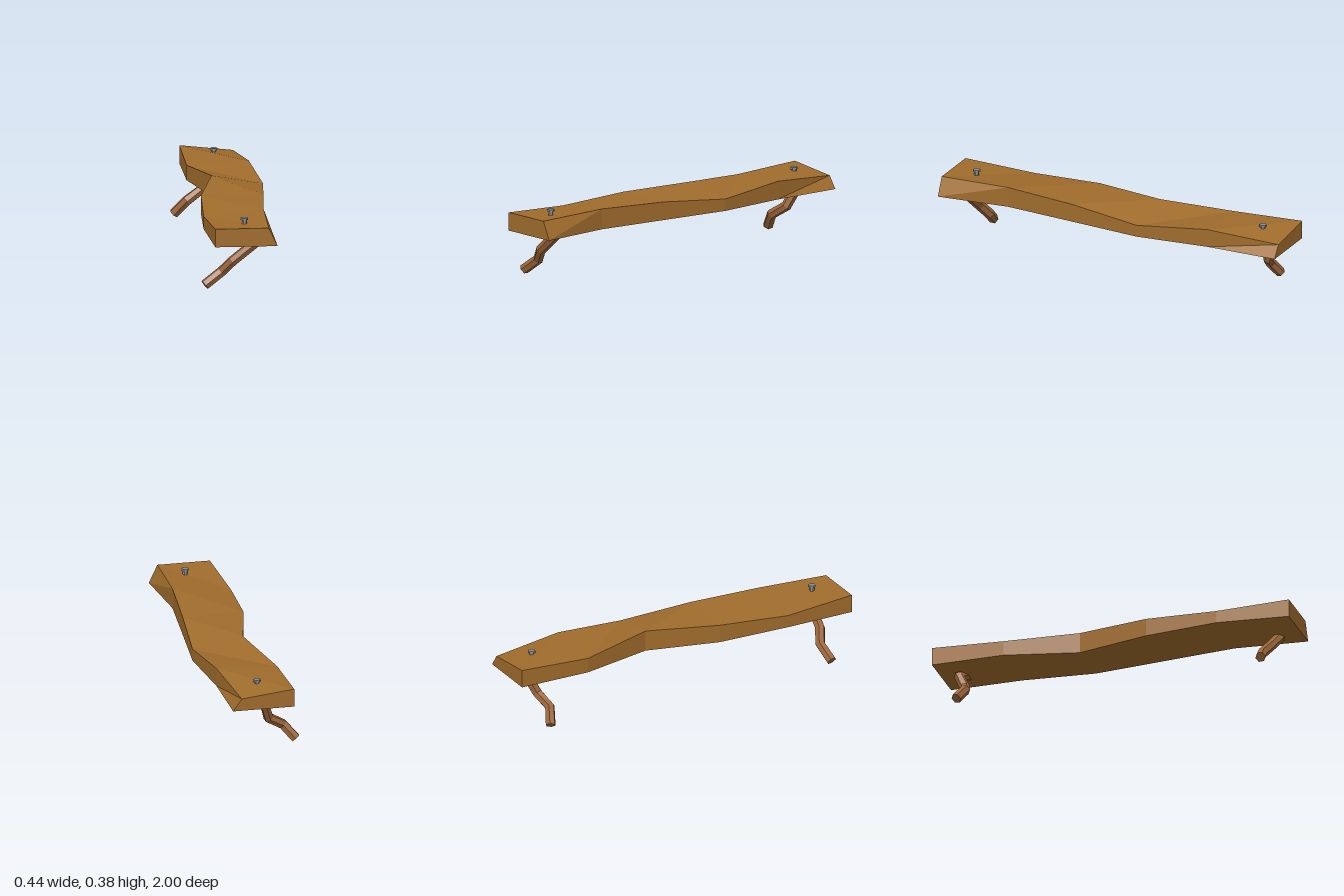
import * as THREE from 'three';

const material = (color) => new THREE.MeshStandardMaterial({ color, flatShading: true, roughness: 0.9 });

// Skin a row of closed rings (each counter-clockwise seen from the first end) and cap both ends
function loft(rings) {
  const n = rings[0].length, index = [];
  for (let i = 0; i < rings.length - 1; i++) {
    for (let j = 0; j < n; j++) {
      const a = i * n + j, b = i * n + (j + 1) % n, c = b + n, d = a + n;
      index.push(a, d, c, a, c, b);
    }
  }
  const last = (rings.length - 1) * n;
  for (let j = 1; j < n - 1; j++) {
    index.push(0, j, j + 1, last, last + j + 1, last + j);
  }
  const geometry = new THREE.BufferGeometry();
  geometry.setAttribute('position', new THREE.Float32BufferAttribute(rings.flat(2), 3));
  geometry.setIndex(index);
  const flat = geometry.toNonIndexed();
  flat.computeVertexNormals();
  return flat;
}

// Six-sided branch following a bent path
function branch(path, radius) {
  const points = path.map((p) => new THREE.Vector3(...p));
  const rings = points.map((p, i) => {
    const before = points[Math.max(i - 1, 0)], after = points[Math.min(i + 1, points.length - 1)];
    const t = p.clone().sub(before).normalize().add(after.clone().sub(p).normalize()).normalize();
    const u = new THREE.Vector3(0, 0, 1).addScaledVector(t, -t.z).normalize();
    const v = u.clone().cross(t);
    return Array.from({ length: 6 }, (_, k) => {
      const a = (k * Math.PI) / 3;
      return p.clone().addScaledVector(u, radius * Math.cos(a))
        .addScaledVector(v, radius * Math.sin(a)).toArray();
    });
  });
  return loft(rings);
}

export function createModel() {
  const group = new THREE.Group();
  const wood = material(0xa06c2c), bark = material(0x9c663a), metal = material(0x8a8d90);
  const add = (name, geometry, mat, parent = group) => {
    const mesh = new THREE.Mesh(geometry, mat);
    mesh.name = name;
    parent.add(mesh);
    return mesh;
  };

  // Plank: z, left x, left bottom y, left top y, right bottom x, right top x, right top y
  const sections = [
    [1.0, -0.157, 0.263, 0.362, 0.177, 0.13, 0.362],
    [0.6, -0.181, 0.272, 0.34, 0.14, 0.14, 0.374],
    [0.2, -0.157, 0.263, 0.362, 0.177, 0.177, 0.362],
    [-0.2, -0.062, 0.263, 0.378, 0.215, 0.215, 0.328],
    [-0.6, -0.157, 0.263, 0.345, 0.177, 0.177, 0.362],
    [-1.0, -0.157, 0.263, 0.362, 0.177, 0.13, 0.33],
  ];
  add('plank', loft(sections.map(([z, xl, yb, yl, xb, xt, yr]) => [
    [xl, yb, z], [xb, 0.263, z], [xt, yr, z], [xl, yl, z],
  ])), wood);

  // Crooked branch supports
  add('frontSupport', branch([
    [0.1, 0.278, 0.87], [-0.05, 0.157, 0.865], [-0.108, 0.092, 0.835], [-0.2, 0.025, 0.855],
  ], 0.028), bark);
  add('backSupport', branch([
    [0.08, 0.285, -0.87], [-0.022, 0.24, -0.89], [-0.05, 0.155, -0.85],
    [-0.135, 0.1, -0.82], [-0.2, 0.025, -0.85],
  ], 0.028), bark);

  // Hexagonal bolts through the plank
  for (const [name, z, top] of [['frontBolt', 0.85, 0.387], ['backBolt', -0.85, 0.378]]) {
    const bolt = new THREE.Group();
    bolt.name = name;
    bolt.position.set(0.013, top, z);
    add('boltHead', new THREE.CylinderGeometry(0.02, 0.02, 0.012, 6), metal, bolt).position.y = -0.006;
    add('boltShaft', new THREE.CylinderGeometry(0.013, 0.013, 0.04, 6), metal, bolt).position.y = -0.032;
    bolt.rotation.y = Math.PI / 6;
    group.add(bolt);
  }
  return group;
}
